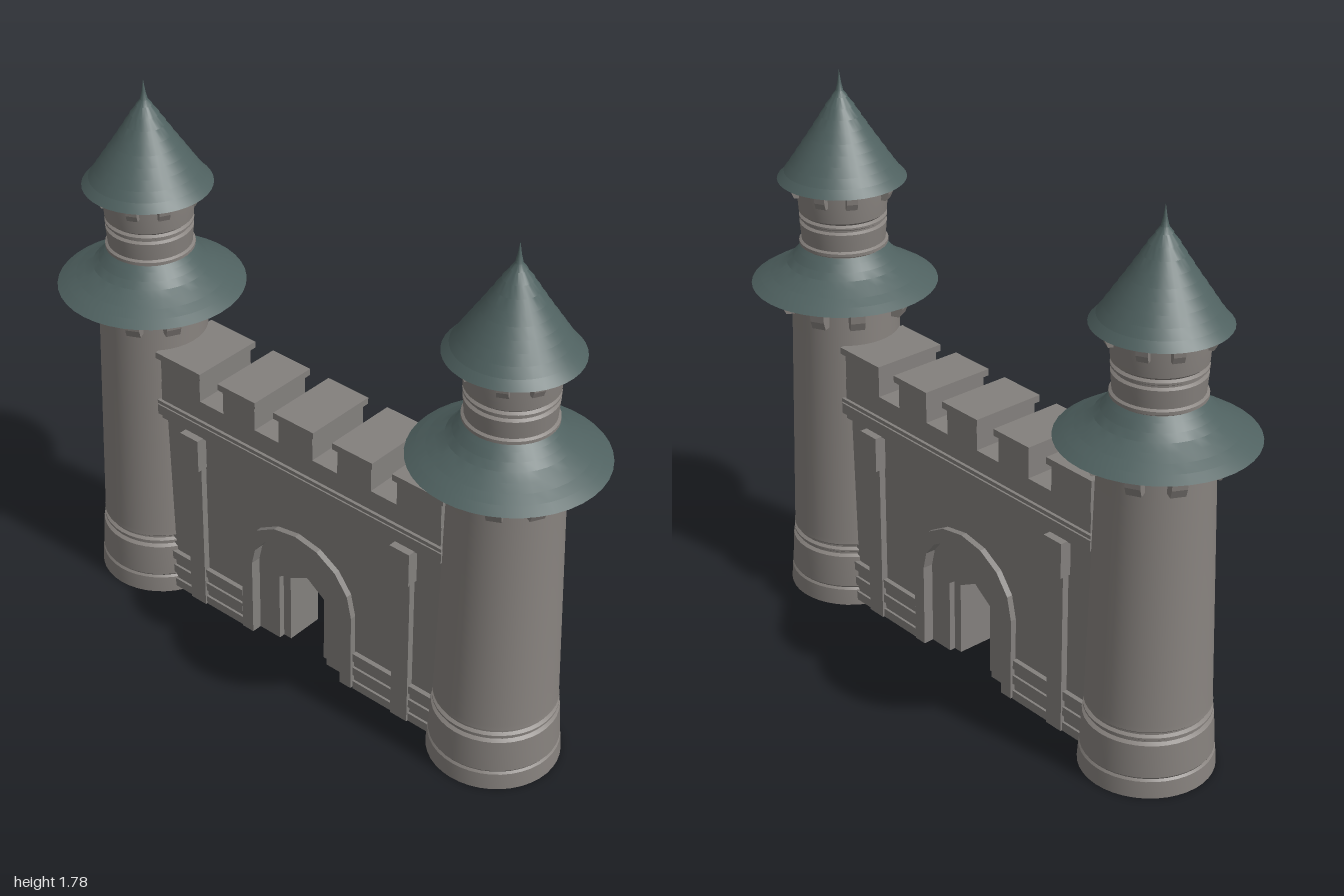
import * as THREE from 'three';
import { toCreasedNormals } from 'three/addons/utils/BufferGeometryUtils.js';

const mat = (name, color) => Object.assign(new THREE.MeshStandardMaterial({ color }), { name });
const V = (x, y) => new THREE.Vector2(x, y);

export function createModel() {
  const towerStone = mat('towerStone', 0x86817d);
  const wallStone = mat('wallStone', 0x83807d);
  const slate = mat('slate', 0x4f6160);
  const model = new THREE.Group();
  model.name = 'castleGate';

  const add = (parent, name, geometry, material, x = 0, y = 0, z = 0) => {
    const mesh = new THREE.Mesh(geometry, material);
    mesh.name = name;
    mesh.position.set(x, y, z);
    parent.add(mesh);
    return mesh;
  };
  // Box given by its x and y limits and its half depth
  const block = (parent, name, x0, x1, y0, y1, half) =>
    add(parent, name, new THREE.BoxGeometry(x1 - x0, y1 - y0, half * 2), wallStone, (x0 + x1) / 2, (y0 + y1) / 2);
  const slab = (parent, name, points, half) => {
    const g = new THREE.ExtrudeGeometry(new THREE.Shape(points), { depth: half * 2, bevelEnabled: false });
    g.translate(0, 0, -half);
    return add(parent, name, g, wallStone);
  };
  const turned = (profile) =>
    toCreasedNormals(new THREE.LatheGeometry(profile.map(([r, y]) => V(r, y)), 40), 0.45);

  // Overlapping slate courses along a roof silhouette, with a lip under each course
  const slateProfile = (outline, inner) => {
    const pts = [[inner, outline[0][1] + 0.004]];
    outline.forEach(([r, y], i) => {
      pts.push([r, y]);
      const next = outline[i + 1];
      if (next) pts.push([next[0] - 0.004, next[1] + 0.001]);
    });
    return pts;
  };

  // Wedge brackets in pairs around a tower
  const wedge = new THREE.ExtrudeGeometry(
    new THREE.Shape([V(-0.03, 0), V(0.018, 0), V(0.03, 0.028), V(0.034, 0.075), V(-0.03, 0.075)]),
    { depth: 0.046, bevelEnabled: false });
  wedge.translate(0, 0, -0.023);
  const brackets = (parent, radius, y, scale) => {
    for (let q = 0; q < 4; q++) for (const s of [-1, 1]) {
      const a = q * Math.PI / 2 + s * 0.47;
      const m = add(parent, 'bracket', wedge, towerStone, Math.cos(a) * radius, y, -Math.sin(a) * radius);
      m.rotation.y = a;
      m.scale.setScalar(scale);
    }
  };

  const body = turned([
    [0, 0], [0.207, 0], [0.203, 0.055], [0.197, 0.062], [0.201, 0.068], [0.195, 0.175],
    [0.184, 0.182], [0.184, 0.188], [0.192, 0.194], [0.192, 0.2], [0.182, 0.206], [0.182, 0.212],
    [0.191, 0.22], [0.189, 0.235], [0.168, 1.065], [0.172, 1.07], [0.172, 1.1], [0, 1.1]]);
  const drum = turned([
    [0, 1.1], [0.13, 1.1], [0.13, 1.212], [0.14, 1.218], [0.14, 1.228], [0.132, 1.233], [0.137, 1.29],
    [0.128, 1.296], [0.128, 1.302], [0.138, 1.308], [0.138, 1.314], [0.129, 1.32],
    [0.138, 1.328], [0.142, 1.39], [0.142, 1.44], [0, 1.44]]);
  const skirtRoof = turned(slateProfile([
    [0.295, 1.085], [0.265, 1.104], [0.235, 1.121], [0.208, 1.138], [0.182, 1.155],
    [0.163, 1.175], [0.145, 1.197], [0.125, 1.218]], 0.16));
  const topRoof = turned(slateProfile([
    [0.202, 1.433], [0.18, 1.459], [0.161, 1.487], [0.142, 1.516], [0.123, 1.545], [0.103, 1.575],
    [0.084, 1.605], [0.064, 1.637], [0.045, 1.668], [0.025, 1.697]], 0).concat(
    [[0.012, 1.714], [0.006, 1.74], [0, 1.78]]));

  // Towers
  for (const side of [-1, 1]) {
    const tower = new THREE.Group();
    tower.name = side > 0 ? 'leftTower' : 'rightTower';
    tower.position.x = side * 0.705;
    model.add(tower);
    add(tower, 'towerBody', body, towerStone);
    add(tower, 'towerDrum', drum, towerStone);
    add(tower, 'skirtRoof', skirtRoof, slate);
    add(tower, 'topRoof', topRoof, slate);
    brackets(tower, 0.178, 0.993, 1);
    brackets(tower, 0.142, 1.38, 0.75);
  }

  // Gate wall with an arched recess
  const wall = new THREE.Group();
  wall.name = 'gateWall';
  model.add(wall);
  const base = 0.02;
  const arch = (rx, spring, ry) => {
    const pts = [V(-rx, base)];
    for (let i = 0; i <= 8; i++) {
      const a = Math.PI * (1 - i / 8);
      pts.push(V(rx * Math.cos(a), spring + ry * Math.sin(a)));
    }
    return [...pts, V(rx, base)];
  };
  const gable = (w, shoulder, peak) => [V(-w, base), V(-w, shoulder), V(0, peak), V(w, shoulder), V(w, base)];
  const between = (outer, inner) => [...outer, ...inner.slice().reverse()];
  const outerArch = arch(0.23, 0.3, 0.2), innerArch = arch(0.185, 0.3, 0.155);
  const doorEdge = gable(0.1, 0.27, 0.34), doorway = gable(0.07, 0.268, 0.305);

  slab(wall, 'wallBody', between([V(-0.6, base), V(-0.6, 0.7), V(0.6, 0.7), V(0.6, base)], innerArch), 0.1);
  slab(wall, 'archTrim', between(outerArch, innerArch), 0.12);
  slab(wall, 'recessPanel', between(innerArch, doorEdge), 0.085);
  slab(wall, 'doorJamb', between(doorEdge, doorway), 0.065);

  // Cornice and parapet
  block(wall, 'corniceLower', -0.57, 0.57, 0.68, 0.7, 0.113);
  block(wall, 'corniceMiddle', -0.575, 0.575, 0.7, 0.735, 0.125);
  block(wall, 'corniceUpper', -0.575, 0.575, 0.74, 0.752, 0.125);
  block(wall, 'parapet', -0.565, 0.565, 0.73, 0.82, 0.115);

  // Battlements
  for (const [x0, x1] of [[-0.575, -0.385], [-0.31, -0.155], [-0.08, 0.08], [0.155, 0.31], [0.385, 0.575]]) {
    block(wall, 'merlon', x0 + 0.012, x1 - 0.012, 0.81, 0.91, 0.115);
    block(wall, 'merlonCap', x0, x1, 0.908, 0.93, 0.125);
  }

  // Pilasters and banded plinths
  for (const s of [-1, 1]) {
    const mirrored = (name, a, b, y0, y1, half) =>
      block(wall, name, Math.min(s * a, s * b), Math.max(s * a, s * b), y0, y1, half);
    mirrored('pilaster', 0.395, 0.46, base, 0.58, 0.122);
    mirrored('pilasterCap', 0.392, 0.467, 0.565, 0.682, 0.138);
    for (const [a, b] of [[0.235, 0.395], [0.46, 0.56]]) {
      mirrored('plinth', a, b, base, 0.16, 0.108);
      for (const y of [base, 0.075, 0.13]) mirrored('plinthBand', a, b, y, y + 0.03, 0.116);
    }
  }
  return model;
}
